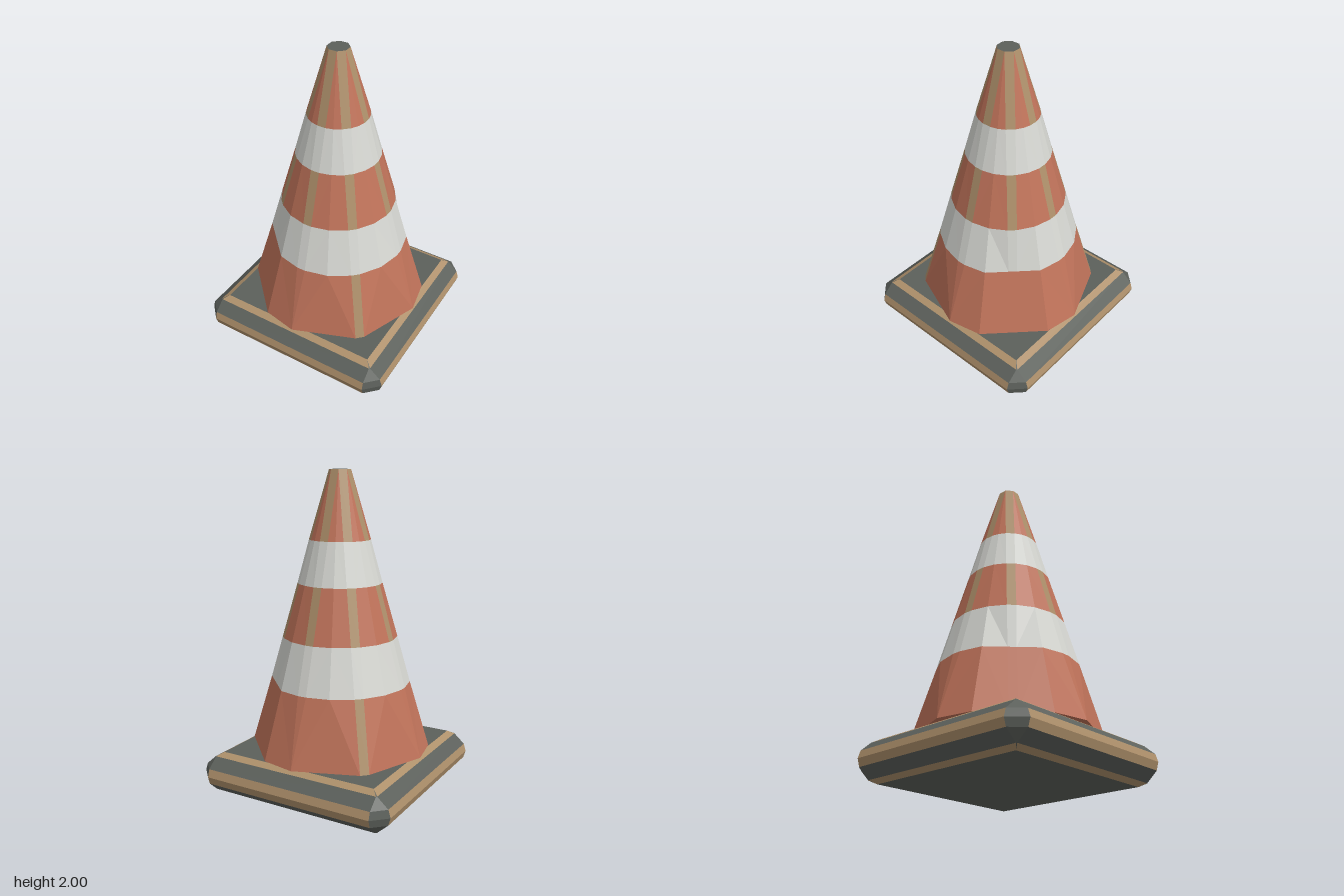
import * as THREE from 'three';

const mat = (name, color) => {
  const m = new THREE.MeshStandardMaterial({ color });
  m.name = name;
  return m;
};

// Flat-faceted mesh from a list of convex polygons (corners counter-clockwise from outside)
function facetMesh(name, polygons, material) {
  const pos = [];
  for (const p of polygons)
    for (let i = 1; i < p.length - 1; i++) pos.push(...p[0], ...p[i], ...p[i + 1]);
  const g = new THREE.BufferGeometry();
  g.setAttribute('position', new THREE.Float32BufferAttribute(pos, 3));
  g.computeVertexNormals();
  const mesh = new THREE.Mesh(g, material);
  mesh.name = name;
  return mesh;
}

// Ring of 24 points: eight narrow worn ridges (two points each) with one point between.
// Corners listed in skip (steps of 22.5 degrees) are flattened onto the chord of their neighbours.
function coneRing(y, r, skip = [], sharpCardinals = false) {
  const step = Math.PI / 8, pts = [];
  for (let k = 0; k < 8; k++) {
    const d = sharpCardinals && k % 2 === 0 ? 0 : Math.min(Math.atan(0.028 / r), step);
    const a = 2 * k * step, flat = skip.includes(2 * k);
    pts.push({ a: a - d, flat }, { a: a + d, flat });
    pts.push({ a: a + step, flat: skip.includes(2 * k + 1) });
  }
  const n = pts.length;
  const neighbour = (i, dir) => {
    let j = i;
    do j += dir; while (pts[(j + n) % n].flat);
    return pts[(j + n) % n].a + Math.floor(j / n) * 2 * Math.PI;
  };
  return pts.map(({ a, flat }, i) => {
    let rad = r;
    if (flat) {
      const a0 = neighbour(i, -1), a1 = neighbour(i, 1);
      rad = r * Math.cos((a1 - a0) / 2) / Math.cos(a - (a0 + a1) / 2);
    }
    return [rad * Math.cos(a), y, -rad * Math.sin(a)];
  });
}

function buildCone(orange, white, tan, dark) {
  const cone = new THREE.Group();
  cone.name = 'cone';
  const rings = [
    coneRing(0.268, 0.572, [2, 5, 7, 10, 13, 15], true),
    coneRing(0.69, 0.445, [2, 10]),
    coneRing(0.98, 0.362),
    coneRing(1.315, 0.265),
    coneRing(1.58, 0.191),
    coneRing(2, 0.067),
  ];
  const names = ['lowerBand', 'lowerReflector', 'middleBand', 'upperReflector', 'tip'];
  names.forEach((name, b) => {
    const lo = rings[b], hi = rings[b + 1], body = [], worn = [];
    for (let i = 0; i < 24; i++) {
      const j = (i + 1) % 24, ridge = Math.floor(i / 3);
      const isRidge = i % 3 === 0 && b % 2 === 0 && (b > 0 || ridge === 3 || ridge === 7);
      const target = isRidge ? worn : body;
      // Diagonals always start at the upper in-between point
      if (i % 3 === 1) target.push([lo[i], lo[j], hi[j]], [lo[i], hi[j], hi[i]]);
      else target.push([lo[i], lo[j], hi[i]], [lo[j], hi[j], hi[i]]);
    }
    cone.add(facetMesh(name, body, b % 2 ? white : orange));
    if (worn.length) cone.add(facetMesh(name + 'WornEdges', worn, tan));
  });
  cone.add(facetMesh('tipCap', [rings[5]], dark));
  cone.add(facetMesh('coneUnderside', [[...rings[0]].reverse()], orange));
  return cone;
}

function buildBase(tan, dark) {
  const base = new THREE.Group();
  base.name = 'base';
  // Bevelled edge profile: half width and height, bottom to top
  const profile = [[0.53, 0], [0.57, 0.022], [0.64, 0.085], [0.655, 0.133],
    [0.64, 0.181], [0.57, 0.242], [0.53, 0.265]];
  const tanBands = [0, 2, 3, 5];
  const rows = profile.map(([h, y]) => {
    const c = Math.min(h, 0.565);
    return { h, c, y };
  });
  const trim = [], body = [];
  for (let s = 0; s < 4; s++) {
    // Quarter turn about y
    const cs = [1, 0, -1, 0][s], sn = [0, 1, 0, -1][s];
    const P = (x, y, z) => [x * cs + z * sn, y, z * cs - x * sn];
    for (let i = 0; i < rows.length - 1; i++) {
      const a = rows[i], b = rows[i + 1];
      (tanBands.includes(i) ? trim : body).push(
        [P(-a.c, a.y, a.h), P(a.c, a.y, a.h), P(b.c, b.y, b.h), P(-b.c, b.y, b.h)]);
      // Cut corner
      body.push([P(a.c, a.y, a.h), P(a.h, a.y, a.c), P(b.h, b.y, b.c), P(b.c, b.y, b.h)]);
    }
  }
  const square = (h, y) => [[-h, y, h], [h, y, h], [h, y, -h], [-h, y, -h]];
  base.add(facetMesh('baseBody', body, dark));
  base.add(facetMesh('baseTrim', trim, tan));
  base.add(facetMesh('baseTop', [square(0.53, 0.265)], dark));
  base.add(facetMesh('baseBottom', [square(0.53, 0).reverse()], dark));
  return base;
}

export function createModel() {
  const orange = mat('orange', 0xc0735a);
  const white = mat('reflective white', 0xd6d7d2);
  const tan = mat('worn tan', 0xae906b);
  const dark = mat('dark rubber', 0x5c605b);

  const model = new THREE.Group();
  model.name = 'trafficCone';
  model.add(buildBase(tan, dark), buildCone(orange, white, tan, dark));
  return model;
}
